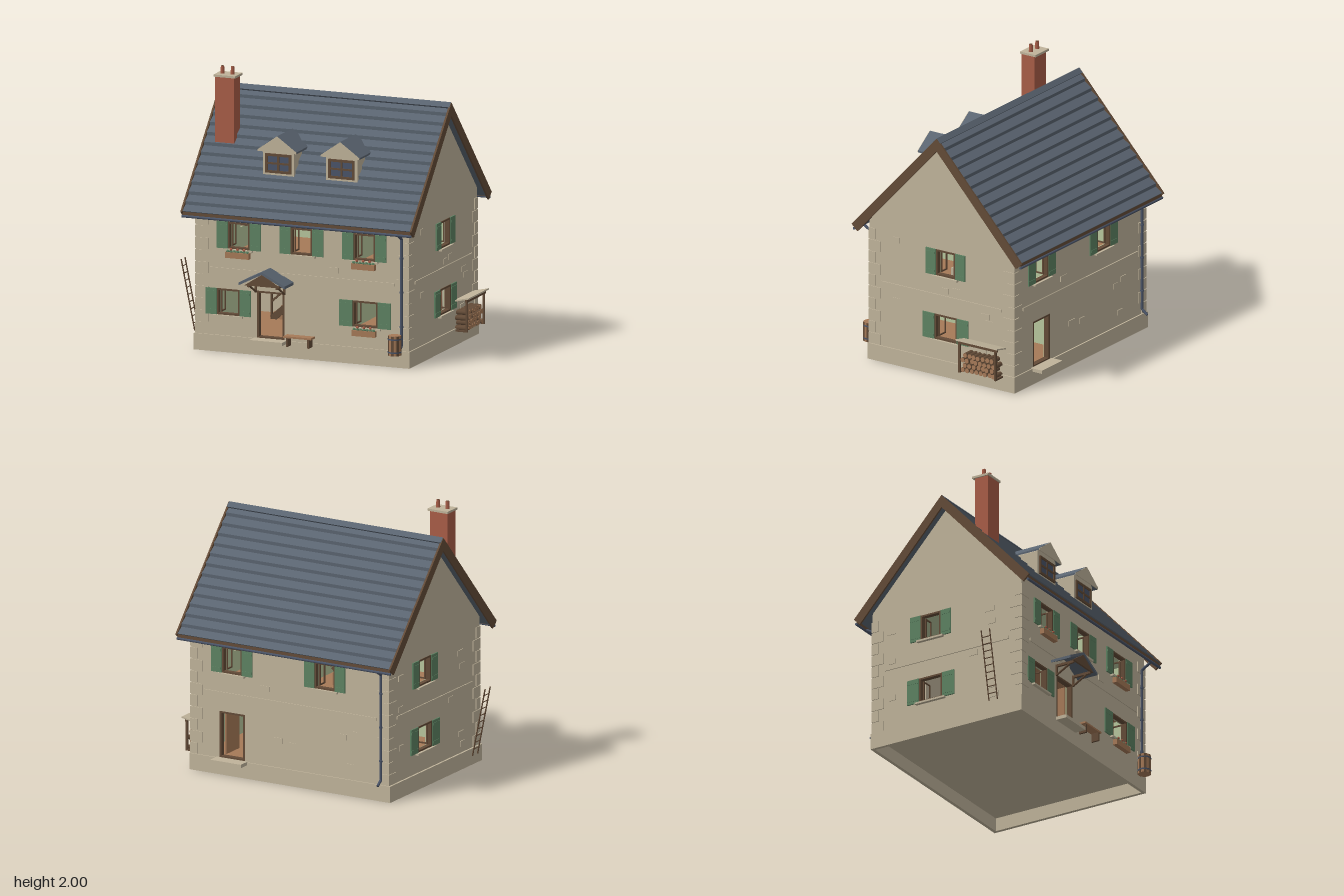
import * as THREE from 'three';

const M = (name, color) => Object.assign(new THREE.MeshStandardMaterial({ color }), { name });
const stone = M('stone', 0xbfb39a), slate = M('slate', 0x5a6470), timber = M('dark timber', 0x634b37),
  brick = M('brick', 0xa85d47), green = M('shutter green', 0x5d8262), wood = M('wood', 0xa67a58),
  plaster = M('green plaster', 0xb7c69d), iron = M('blue iron', 0x4a5468);

function add(parent, name, mat, geo, x = 0, y = 0, z = 0) {
  const m = new THREE.Mesh(geo, mat);
  m.name = name; m.position.set(x, y, z); parent.add(m);
  return m;
}
const box = (p, name, mat, w, h, d, x, y, z) => add(p, name, mat, new THREE.BoxGeometry(w, h, d), x, y, z);
const cyl = (p, name, mat, r1, r2, h, n, x, y, z) => add(p, name, mat, new THREE.CylinderGeometry(r1, r2, h, n), x, y, z);
const poly = pts => new THREE.Shape(pts.map(([x, y]) => new THREE.Vector2(x, y)));
const rect = (x0, y0, x1, y1) => poly([[x0, y0], [x1, y0], [x1, y1], [x0, y1]]);
const extrude = (shape, depth) => new THREE.ExtrudeGeometry(shape, { depth, bevelEnabled: false });

// Round bar between two points
function rod(p, name, mat, a, b, r, n = 8) {
  const A = new THREE.Vector3(...a), B = new THREE.Vector3(...b), d = B.clone().sub(A);
  const m = cyl(p, name, mat, r, r, d.length(), n, 0, 0, 0);
  m.position.copy(A).add(B).multiplyScalar(0.5);
  m.quaternion.setFromUnitVectors(new THREE.Vector3(0, 1, 0), d.normalize());
}
// Rectangular ring, origin at bottom centre
function ring(p, name, w, h, t, depth, x, y, z) {
  const s = rect(-w / 2, 0, w / 2, h);
  s.holes.push(rect(-w / 2 + t, t, w / 2 - t, h - t));
  return add(p, name, timber, extrude(s, depth), x, y, z);
}
let seed = 7;
const rnd = () => (seed = (seed * 16807) % 2147483647) / 2147483647;

const X0 = -0.79, X1 = 0.85, Z0 = -0.65, Z1 = 0.6, ZC = -0.025, XC = 0.03;

// Window in wall space: u along the wall, +z outward
function windowUnit(g, [u, y, w, h, boxed]) {
  const sw = w > 0.18 ? 0.1 : 0.085;
  ring(g, 'windowFrame', w, h, 0.013, 0.035, u, y, -0.03);
  box(g, 'windowSill', stone, w + 0.05, 0.014, 0.05, u, y - 0.007, 0);
  for (const s of [-1, 1]) {
    const x = u + s * (w / 2 + sw / 2);
    box(g, 'shutter', green, sw, h, 0.012, x, y + h / 2, 0.004);
    for (const k of [0.15, 0.85]) box(g, 'shutterRail', green, sw - 0.01, 0.016, 0.003, x, y + h * k, 0.011);
    const c = ring(g, 'openCasement', w / 2 - 0.012, h - 0.026, 0.01, 0.008, u + s * (w / 2 - 0.014), y + 0.013, -0.07);
    c.rotation.y = Math.PI / 2;
  }
  if (!boxed) return;
  box(g, 'flowerBox', wood, 0.18, 0.042, 0.035, u, y - 0.04, 0.022);
  for (let i = 0; i < 7; i++) {
    const x = u - 0.075 + i * 0.025;
    add(g, 'plant', green, new THREE.IcosahedronGeometry(0.014, 0), x, y - 0.014, 0.022);
    if (i % 2) add(g, 'blossom', brick, new THREE.IcosahedronGeometry(0.011, 0), x, y + 0.002, 0.026);
  }
}

// Wall with openings, inner lining, floor band and a few raised stones
function wall(root, name, outline, half, mid, wins, doors, pos, rot) {
  const g = new THREE.Group();
  g.name = name; g.position.set(...pos); g.rotation.y = rot; root.add(g);
  const holes = [...wins, ...doors];
  const cut = e => {
    const s = poly(outline(e));
    for (const [u, y, w, h] of holes) s.holes.push(rect(u - w / 2, y, u + w / 2, y + h));
    return s;
  };
  add(g, 'wallStone', stone, extrude(cut(0), 0.05), 0, 0, -0.05);
  add(g, 'wallLining', plaster, extrude(cut(0.03), 0.006), 0, 0, -0.056);
  box(g, 'floorBand', stone, half * 2 - 0.21, 0.022, 0.012, mid, 0.6, 0.001);
  wins.forEach(w => windowUnit(g, w));
  for (const [u, y, w, h, hinge] of doors) {
    ring(g, 'doorFrame', w, h, 0.014, 0.04, u, y, -0.04);
    box(g, 'doorStep', stone, 0.255, 0.025, 0.1, u, 0.1125, 0.045);
    box(g, 'openDoor', wood, 0.012, h - 0.03, w - 0.03, u + hinge * (w / 2 - 0.02), y + h / 2, -0.14);
  }
  for (let i = 0; i < 13; i++) {
    const u = mid + (rnd() * 2 - 1) * (half - 0.16), y = 0.17 + rnd() * 0.78;
    if (Math.abs(y - 0.6) < 0.04 || holes.some(([a, b, w, h]) => Math.abs(u - a) < w / 2 + 0.15 && y > b - 0.09 && y < b + h + 0.04)) continue;
    box(g, 'raisedStone', stone, 0.05 + rnd() * 0.03, 0.04, 0.008, u, y, 0.001);
  }
}

// Main roof section: distance d from the ridge, lift along the slope normal
const rp = (d, lift) => [d + lift * 0.737, 1.81 - 1.09 * d + lift * 0.676];
function alongX(p, name, mat, pts, x0, x1) {
  add(p, name, mat, extrude(poly(pts), x1 - x0), x0, 0, ZC).rotation.y = Math.PI / 2;
}

function roof(root) {
  const top = [[0, 1.795]], N = 13, D = 0.725;
  for (let i = 0; i < N; i++) top.push(rp(D * i / N + 0.012, -0.014), rp(D * (i + 1) / N, 0.003));
  const eave = rp(D, -0.04);
  const left = top.slice(1).reverse().map(([x, y]) => [-x, y]);
  alongX(root, 'slateRoof', slate, [...top, eave, [0, 1.751], [-eave[0], eave[1]], ...left], -0.86, 0.91);
  // Gable edge boards
  const board = [[0, 1.815], rp(D + 0.006, 0.006), rp(D + 0.006, -0.062), [0, 1.72]];
  for (const x of [-0.867, 0.903])
    for (const s of [-1, 1]) alongX(root, 'bargeBoard', timber, board.map(([a, b]) => [a * s, b]), x, x + 0.014);
  box(root, 'ridgeCap', slate, 1.775, 0.045, 0.045, 0.025, 1.786, ZC).rotation.x = Math.PI / 4;
  // Eaves, gutters and downpipes
  for (const s of [-1, 1]) {
    box(root, 'fascia', timber, 1.76, 0.034, 0.01, 0.025, 1.0, ZC + s * 0.716);
    rod(root, 'gutter', iron, [-0.86, 0.983, ZC + s * 0.72], [0.91, 0.983, ZC + s * 0.72], 0.01);
    const x = s > 0 ? 0.8 : -0.73, w = s > 0 ? 0.612 : -0.662;
    const path = [[0.985, w + s * 0.075], [0.94, w], [0.16, w], [0.125, w + s * 0.045]];
    for (let i = 0; i < 3; i++) rod(root, 'downpipe', iron, [x, ...path[i]], [x, ...path[i + 1]], 0.01);
    for (const y of [0.3, 0.55, 0.8]) cyl(root, 'pipeBracket', iron, 0.014, 0.014, 0.012, 8, x, y, w);
  }
}

// Chevron section shared by dormers and porch
const chevron = (half, eave, apex, t) =>
  poly([[0, apex], [half, eave], [half, eave - t], [0, apex - t], [-half, eave - t], [-half, eave]]);

function dormer(root, x) {
  const g = new THREE.Group(); g.name = 'dormer'; g.position.x = x; root.add(g);
  add(g, 'dormerBody', stone, extrude(poly([[-0.12, 1.27], [0.12, 1.27], [0.12, 1.47], [0, 1.555], [-0.12, 1.47]]), 0.25), 0, 0, 0.2);
  add(g, 'dormerGable', stone, extrude(poly([[-0.149, 1.457], [0.149, 1.457], [0.149, 1.469], [0, 1.574], [-0.149, 1.469]]), 0.006), 0, 0, 0.478);
  add(g, 'dormerRoof', slate, extrude(chevron(0.15, 1.47, 1.575, 0.014), 0.32), 0, 0, 0.16);
  box(g, 'dormerPane', iron, 0.17, 0.13, 0.004, 0, 1.37, 0.452);
  ring(g, 'dormerFrame', 0.2, 0.14, 0.018, 0.012, 0, 1.3, 0.449);
  box(g, 'glazingBar', timber, 0.014, 0.13, 0.008, 0, 1.37, 0.456);
  box(g, 'glazingBar', timber, 0.17, 0.014, 0.008, 0, 1.37, 0.456);
}

function porch(root) {
  const g = new THREE.Group(); g.name = 'porch'; g.position.x = -0.217; root.add(g);
  add(g, 'porchRoof', slate, extrude(chevron(0.178, 0.552, 0.642, 0.02), 0.165), 0, 0, 0.6);
  add(g, 'porchGable', timber, extrude(poly([[-0.135, 0.535], [0.135, 0.535], [0, 0.622]]), 0.015), 0, 0, 0.745);
  for (const s of [-1, 1]) {
    box(g, 'porchBeam', timber, 0.016, 0.018, 0.15, s * 0.11, 0.53, 0.675);
    rod(g, 'porchBrace', timber, [s * 0.11, 0.53, 0.73], [s * 0.11, 0.46, 0.605], 0.008, 6);
    box(g, 'porchWallPost', timber, 0.014, 0.08, 0.014, s * 0.11, 0.495, 0.606);
  }
}

function chimney(root) {
  box(root, 'chimneyStack', brick, 0.147, 0.53, 0.11, -0.695, 1.665, 0.25);
  box(root, 'chimneyCap', stone, 0.168, 0.016, 0.134, -0.695, 1.935, 0.245);
  for (const x of [-0.735, -0.657]) {
    cyl(root, 'chimneyPot', brick, 0.013, 0.016, 0.058, 8, x, 1.97, 0.25);
    cyl(root, 'potOpening', timber, 0.01, 0.01, 0.004, 8, x, 1.998, 0.25);
  }
}

function yardThings(root) {
  // Barrel
  cyl(root, 'barrel', wood, 0.046, 0.046, 0.145, 14, 0.765, 0.1725, 0.656);
  for (let i = 0; i < 7; i++) {
    const a = i * Math.PI * 2 / 7;
    box(root, 'barrelStave', timber, 0.018, 0.143, 0.004, 0.765 + Math.sin(a) * 0.0455, 0.1725, 0.656 + Math.cos(a) * 0.0455).rotation.y = a;
  }
  for (const y of [0.125, 0.22]) cyl(root, 'barrelHoop', iron, 0.0495, 0.0495, 0.01, 14, 0.765, y, 0.656);
  // Bench
  box(root, 'benchSeat', wood, 0.215, 0.013, 0.07, 0.027, 0.168, 0.655);
  for (const x of [-0.055, 0.11]) box(root, 'benchLeg', timber, 0.014, 0.065, 0.06, x, 0.13, 0.655);
  // Ladder
  for (const z of [0.375, 0.445]) rod(root, 'ladderRail', timber, [-0.867, 0.1, z], [-0.972, 0.61, z], 0.005, 6);
  for (let i = 1; i < 10; i++)
    rod(root, 'ladderRung', timber, [-0.867 - 0.0105 * i, 0.1 + 0.051 * i, 0.372], [-0.867 - 0.0105 * i, 0.1 + 0.051 * i, 0.448], 0.004, 6);
  // Log store
  const g = new THREE.Group(); g.name = 'logStore'; root.add(g);
  box(g, 'storeRoof', stone, 0.125, 0.01, 0.36, 0.908, 0.336, -0.405).rotation.z = 0.22;
  box(g, 'storeBeam', timber, 0.016, 0.02, 0.34, 0.943, 0.328, -0.4);
  for (const z of [-0.243, -0.552]) {
    box(g, 'storePost', timber, 0.015, 0.225, 0.015, 0.943, 0.2125, z);
    box(g, 'storeFoot', timber, 0.1, 0.012, 0.015, 0.9, 0.106, z);
  }
  for (let r = 0; r < 4; r++)
    for (let i = 0; i < 8 - r % 2; i++) {
      const z = -0.265 - i * 0.038 - (r % 2) * 0.019, y = 0.122 + r * 0.037, e = 0.93 + rnd() * 0.015;
      rod(g, 'logBark', timber, [0.85, y, z], [e - 0.002, y, z], 0.0185, 7);
      rod(g, 'logEnd', wood, [e - 0.003, y, z], [e, y, z], 0.0178, 7);
    }
}

function interior(root) {
  const g = new THREE.Group(); g.name = 'interior'; root.add(g);
  box(g, 'groundFloor', wood, 1.6, 0.012, 1.21, XC, 0.114, ZC);
  box(g, 'floorUnderside', stone, 1.53, 0.02, 1.14, XC, 0.1, ZC);
  box(g, 'upperFloor', wood, 1.55, 0.016, 1.16, XC, 0.592, ZC);
  box(g, 'upperCeiling', plaster, 1.55, 0.012, 1.16, XC, 1.01, ZC);
  box(g, 'groundPartition', plaster, 0.02, 0.47, 1.15, 0.17, 0.352, ZC);
  box(g, 'upperPartition', plaster, 0.02, 0.4, 1.15, 0.2, 0.802, ZC);
  box(g, 'hallBackWall', stone, 0.89, 0.47, 0.02, -0.285, 0.352, -0.25);
  // Stairs
  for (let i = 0; i < 9; i++) box(g, 'stairTread', wood, 0.06, 0.045, 0.18, -0.44 + i * 0.058, 0.145 + i * 0.05, -0.14);
  add(g, 'stairPanel', wood, extrude(poly([[-0.46, 0.12], [0.1, 0.12], [0.1, 0.585], [0.06, 0.585]]), 0.008), 0, 0, -0.05);
  for (const [dy, t] of [[0, 0.05], [0.13, 0.014]]) {
    const s = box(g, dy ? 'handrail' : 'stringer', timber, 0.7, t, 0.014, -0.21, 0.355 + dy, -0.035);
    s.rotation.z = 0.73;
  }
  cyl(g, 'newelPost', timber, 0.01, 0.01, 0.25, 6, -0.475, 0.245, -0.035);
  // Furniture and lamps
  const table = (x, y, z, w, h, d) => {
    box(g, 'tableTop', wood, w, 0.014, d, x, y + h, z);
    for (const a of [-1, 1]) for (const b of [-1, 1])
      box(g, 'tableLeg', timber, 0.014, h, 0.014, x + a * (w / 2 - 0.012), y + h / 2, z + b * (d / 2 - 0.012));
  };
  table(0.51, 0.12, -0.12, 0.1, 0.165, 0.12);
  table(-0.25, 0.12, 0.12, 0.12, 0.12, 0.08);
  box(g, 'bed', wood, 0.24, 0.09, 0.36, -0.1, 0.65, 0.1);
  box(g, 'chest', stone, 0.1, 0.19, 0.06, 0.7, 0.695, -0.065);
  box(g, 'wallPicture', iron, 0.07, 0.045, 0.01, -0.425, 0.91, -0.585);
  for (const [y, z] of [[0.43, -0.06], [0.89, 0.15]]) {
    cyl(g, 'lampShade', iron, 0.006, 0.04, 0.03, 12, 0.51, y + 0.01, z);
    cyl(g, 'lampCord', iron, 0.002, 0.002, 0.13, 5, 0.51, y + 0.085, z);
  }
}

export function createModel() {
  const root = new THREE.Group();
  root.name = 'stoneHouse';
  // Hollow plinth
  const s = rect(-0.805, -0.61, 0.86, 0.66);
  s.holes.push(rect(-0.78, -0.585, 0.835, 0.635));
  add(root, 'plinth', stone, extrude(s, 0.12)).rotation.x = -Math.PI / 2;
  // Walls
  const long = (a, b) => e => [[a + e, 0.1], [b - e, 0.1], [b - e, 1.06], [a + e, 1.06]];
  const gable = (a, b, c) => e => [[a + e, 0.1], [b - e, 0.1], [b - e, 1.065 - e], [c, 1.74 - e], [a + e, 1.065 - e]];
  const up = (u, b) => [u, 0.755, 0.168, 0.195, b], low = (u, b) => [u, 0.27, 0.195, 0.19, b];
  wall(root, 'frontWall', long(X0, X1), 0.82, XC, [up(-0.46, 1), up(0.025), up(0.51, 1), [-0.54, 0.27, 0.175, 0.19], low(0.515, 1)],
    [[-0.215, 0.122, 0.21, 0.345, 1]], [0, 0, Z1], 0);
  wall(root, 'backWall', long(-X1, -X0), 0.82, -XC, [up(-0.51), up(0.26)], [[-0.51, 0.122, 0.21, 0.345, -1]], [0, 0, Z0], Math.PI);
  wall(root, 'leftGable', gable(-Z1 + 0.001, -Z0 - 0.001, -ZC), 0.625, -ZC, [up(0.06), low(0.06)], [], [X1, 0, 0], Math.PI / 2);
  wall(root, 'rightGable', gable(Z0 + 0.001, Z1 - 0.001, ZC), 0.625, ZC, [up(-0.16), low(-0.16)], [], [X0, 0, 0], -Math.PI / 2);
  // Corner stones
  for (const sx of [-1, 1]) for (const sz of [-1, 1]) for (let i = 0; i < 10; i++) {
    const w = i % 2 ? 0.1 : 0.06, d = i % 2 ? 0.06 : 0.1;
    box(root, 'cornerStone', stone, w, 0.08, d, XC + sx * (0.826 - w / 2), 0.163 + i * 0.088, ZC + sz * (0.631 - d / 2));
  }
  roof(root);
  dormer(root, -0.217);
  dormer(root, 0.27);
  porch(root);
  chimney(root);
  yardThings(root);
  interior(root);
  return root;
}
